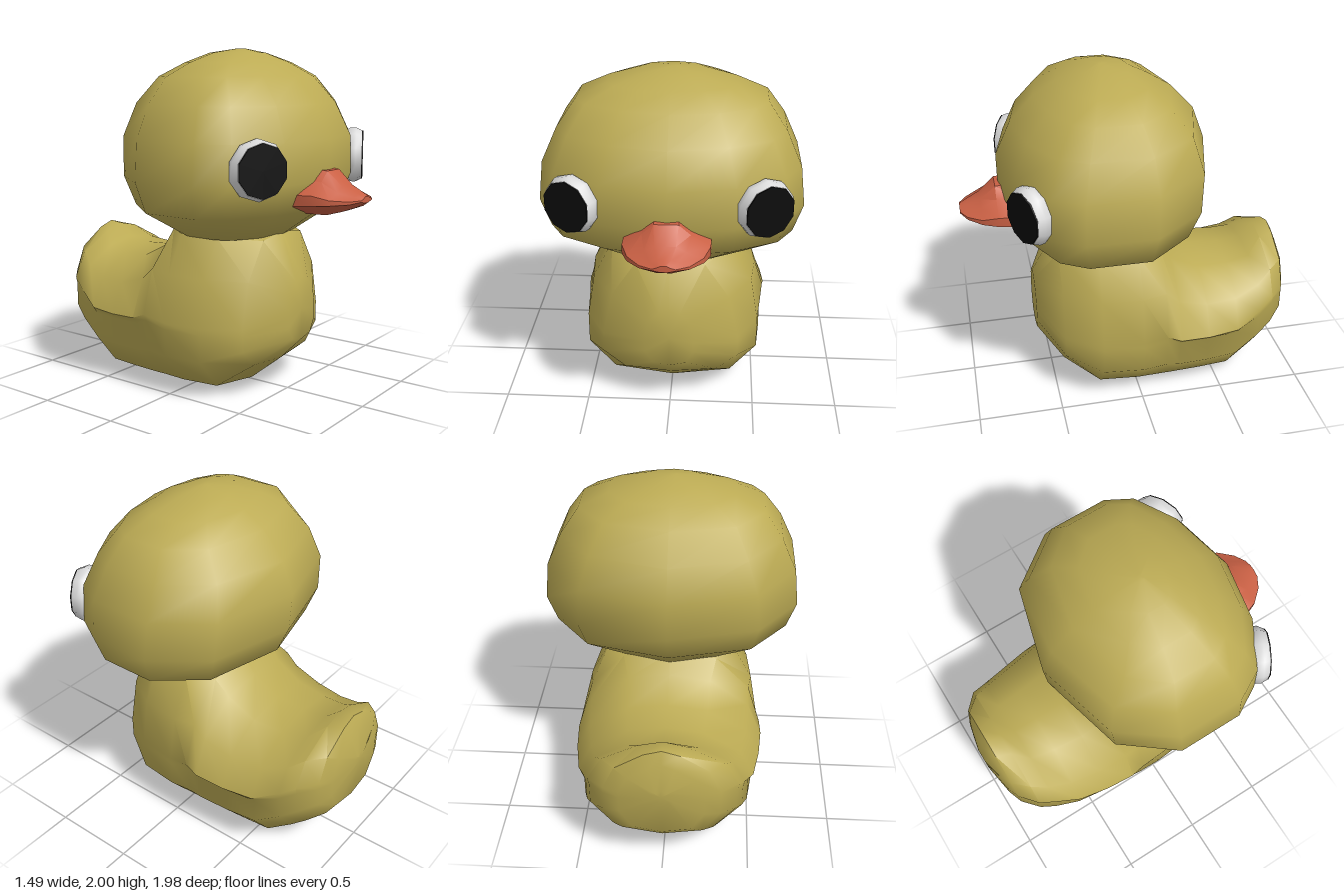
import * as THREE from 'three';
import { toCreasedNormals } from 'three/addons/utils/BufferGeometryUtils.js';

const paint = (name, color) => {
  const m = new THREE.MeshStandardMaterial({ color });
  m.name = name;
  return m;
};

// Closes a half outline (both ends on x = 0) by mirroring it across x
const mirrorRing = (half) => [
  ...half,
  ...half.slice(1, -1).reverse().map(([x, y, z]) => [-x, y, z]),
];

// Skins a list of rings and closes both ends
function loft(rings, crease) {
  const n = rings[0].length, index = [], points = rings.flat();
  for (let i = 0; i < rings.length - 1; i++) {
    for (let j = 0; j < n; j++) {
      const a = i * n + j, b = i * n + (j + 1) % n;
      index.push(a, a + n, b, b, a + n, b + n);
    }
  }
  [0, rings.length - 1].forEach((r, end) => {
    const centre = [0, 1, 2].map((k) => rings[r].reduce((s, p) => s + p[k], 0) / n);
    const c = points.push(centre) - 1;
    for (let j = 0; j < n; j++) {
      const a = r * n + j, b = r * n + (j + 1) % n;
      index.push(c, ...(end ? [b, a] : [a, b]));
    }
  });
  const g = new THREE.BufferGeometry();
  g.setAttribute('position', new THREE.Float32BufferAttribute(points.flat(), 3));
  g.setIndex(index);
  return toCreasedNormals(g, crease);
}

// Upright body section: keel, belly, wing step, shoulder, back
function bodyRing([z, bottom, side, top, width, wing, back]) {
  const edge = width + wing, edgeY = side + 0.04;
  return mirrorRing([
    [0, bottom, z],
    [width * 0.69, bottom + (side - bottom) * 0.13, z],
    [width, bottom + (side - bottom) * 0.6, z],
    [width, side, z],
    [edge, edgeY, z],
    [back + (edge - back) * 0.72, edgeY + (top - edgeY) * 0.52, z],
    [back, top - 0.03, z],
    [0, top, z],
  ]);
}

function bodyGeometry() {
  // z, bottom, side height, top, half width, wing overhang, half width of back
  const stations = [
    [0.59, 0.32, 0.48, 0.7, 0.14, 0, 0.06],
    [0.45, 0.18, 0.4, 0.95, 0.4, 0, 0.2],
    [0.24, 0.01, 0.4, 0.97, 0.52, 0, 0.36],
    [0, 0, 0.4, 0.97, 0.54, 0.005, 0.38],
    [-0.14, 0, 0.43, 0.97, 0.54, 0.02, 0.28],
    [-0.22, 0, 0.4, 0.86, 0.53, 0.04, 0.25],
    [-0.4, 0, 0.39, 0.77, 0.515, 0.04, 0.24],
    [-0.59, 0, 0.39, 0.76, 0.49, 0.03, 0.22],
    [-0.74, 0.11, 0.47, 0.78, 0.455, 0.01, 0.2],
    [-0.83, 0.18, 0.53, 0.86, 0.42, 0.01, 0.13],
    [-0.92, 0.25, 0.55, 0.87, 0.33, 0, 0.1],
    [-0.955, 0.3, 0.55, 0.8, 0.24, 0, 0.07],
    [-0.99, 0.56, 0.58, 0.65, 0.06, 0, 0.03],
  ];
  return loft(stations.map(bodyRing), 0.95);
}

function headGeometry() {
  // Half outline seen from above, back to front, in unit size
  const outline = [[0, -1], [0.69, -0.78], [1, -0.29], [1, 0.35], [0.87, 0.63], [0.5, 0.88], [0, 1]];
  // Height, half width, back and front of each level
  const levels = [
    [0.93, 0.38, -0.18, 0.45], [1.1, 0.69, -0.38, 0.69], [1.27, 0.745, -0.455, 0.76],
    [1.5, 0.72, -0.47, 0.76], [1.69, 0.635, -0.4, 0.67], [1.84, 0.53, -0.26, 0.53],
    [1.92, 0.36, -0.13, 0.4], [1.975, 0.18, -0.02, 0.28], [2, 0.02, 0.13, 0.17],
  ];
  return loft(levels.map(([y, w, back, front]) => mirrorRing(outline.map(
    ([u, v]) => [u * w, y, (back + front) / 2 + v * (front - back) / 2],
  ))), 1.1);
}

function beakGeometry() {
  // z, bottom, lip height, top, half width
  const stations = [
    [0.99, 1.165, 1.175, 1.2, 0.06],
    [0.95, 1.14, 1.165, 1.215, 0.13],
    [0.87, 1.11, 1.16, 1.25, 0.2],
    [0.78, 1.085, 1.155, 1.33, 0.235],
    [0.64, 1.08, 1.14, 1.34, 0.235],
  ];
  return loft(stations.map(([z, bottom, lip, top, w]) => mirrorRing([
    [0, bottom, z], [w * 0.3, bottom, z], [w, lip, z],
    [w, lip + (top - lip) * 0.32, z], [w * 0.55, lip + (top - lip) * 0.68, z],
    [w * 0.28, top, z], [0, top, z],
  ])), 0.6);
}

export function createModel() {
  const yellow = paint('duck yellow', 0xbcab54);
  const orange = paint('beak orange', 0xc96044);
  const white = paint('eye white', 0xdcdcdc);
  const black = paint('pupil black', 0x0c0c0c);

  const model = new THREE.Group();
  model.name = 'duck';
  const add = (parent, name, geometry, material) => {
    const mesh = new THREE.Mesh(geometry, material);
    mesh.name = name;
    parent.add(mesh);
    return mesh;
  };

  add(model, 'body', bodyGeometry(), yellow);
  add(model, 'head', headGeometry(), yellow);
  add(model, 'beak', beakGeometry(), orange);

  // Eyes: rounded white button with a thin black disc on its face
  const profile = [[0, -0.13], [0.13, -0.12], [0.165, -0.07], [0.165, -0.035], [0.148, 0], [0, 0]];
  const button = toCreasedNormals(
    new THREE.LatheGeometry(profile.map(([r, y]) => new THREE.Vector2(r, y)), 10), 0.9);
  const disc = new THREE.CylinderGeometry(0.146, 0.146, 0.008, 10);
  for (const side of [1, -1]) {
    const eye = new THREE.Group();
    eye.name = side > 0 ? 'leftEye' : 'rightEye';
    add(eye, 'eyeWhite', button, white);
    add(eye, 'pupil', disc, black).position.y = 0.004;
    eye.position.set(side * 0.54, 1.365, 0.67);
    eye.rotation.set(Math.PI / 2, 0, -side * 0.48);
    model.add(eye);
  }
  return model;
}
